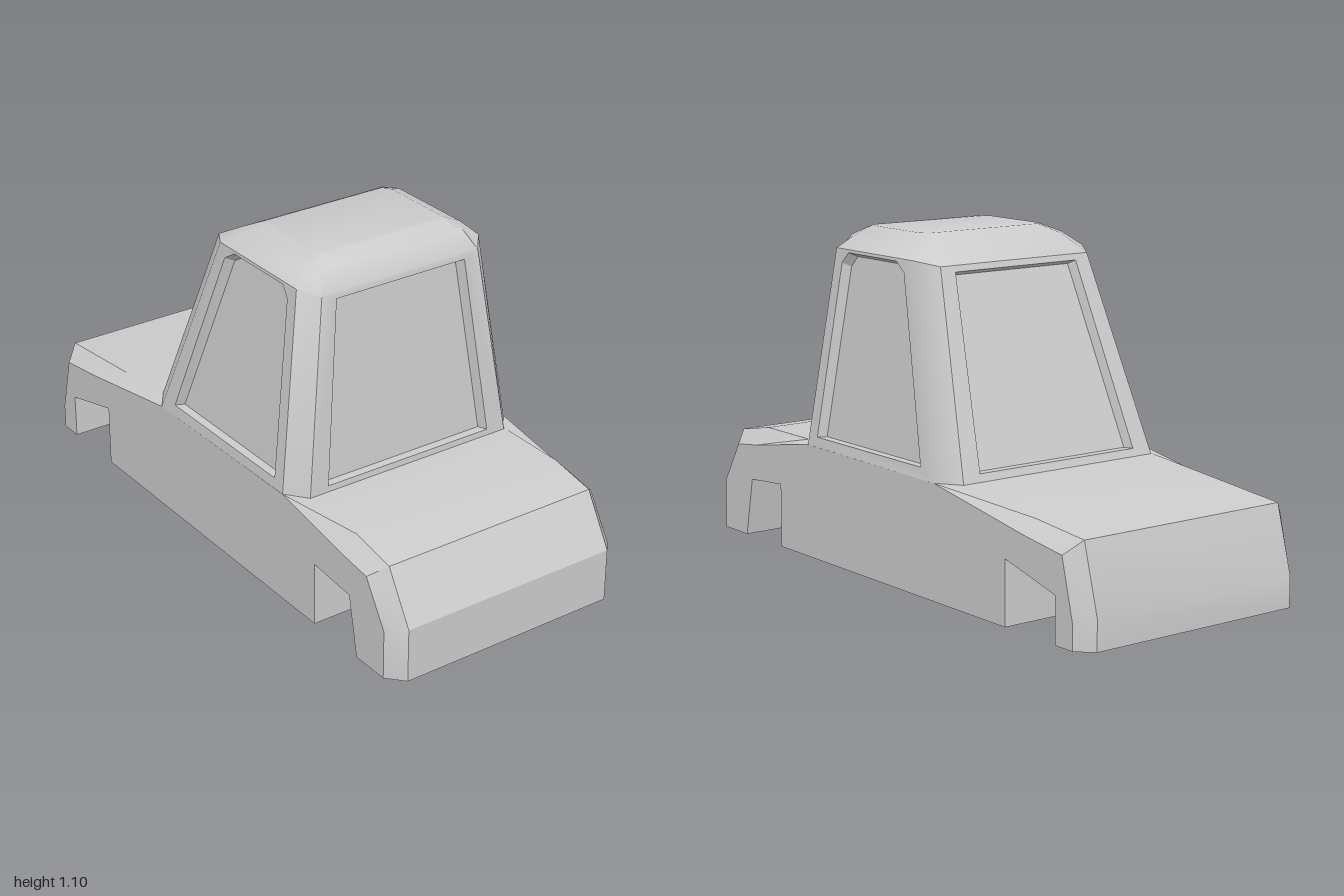
import * as THREE from 'three';
import { toCreasedNormals } from 'three/addons/utils/BufferGeometryUtils.js';

const material = new THREE.MeshStandardMaterial({ color: 0xcccccc });
const V = (x, y, z) => new THREE.Vector3(x, y, z);
const V2 = ([x, y]) => new THREE.Vector2(x, y);

function meshFrom(name, tris, crease = 0.62) {
  const geometry = new THREE.BufferGeometry().setFromPoints(tris);
  const mesh = new THREE.Mesh(toCreasedNormals(geometry, crease), material);
  mesh.name = name;
  return mesh;
}

// Adds a triangle facing away from a point (or towards it when sign is -1)
function addTri(tris, a, b, c, point, sign = 1) {
  const n = b.clone().sub(a).cross(c.clone().sub(a));
  const mid = a.clone().add(b).add(c).divideScalar(3).sub(point);
  if (n.dot(mid) * sign >= 0) tris.push(a, b, c);
  else tris.push(a, c, b);
}
function addQuad(tris, a, b, c, d, point, sign = 1) {
  addTri(tris, a, b, c, point, sign);
  addTri(tris, a, c, d, point, sign);
}

// Lower body: side profile lofted across the width, with bevelled edges and open wheel arches
function createBody() {
  const underside = [[0.81, 0], [0.77, 0.2], [0.59, 0.215], [0.59, 0],
    [-0.635, 0], [-0.635, 0.21], [-0.87, 0.15], [-0.87, 0]];
  const middle = [[-1, 0], [-1, 0.1], [-0.94, 0.32], [-0.72, 0.341], [-0.36, 0.375],
    [0.49, 0.38], [0.74, 0.38], [0.9, 0.35], [1, 0.18], [1, 0], ...underside].reverse();
  const edge = [[-0.95, 0], [-0.95, 0.08], [-0.9, 0.275], [-0.72, 0.3], [-0.28, 0.375],
    [0.42, 0.38], [0.74, 0.325], [0.855, 0.31], [0.945, 0.165], [0.945, 0], ...underside].reverse();
  const rings = [[edge, -0.435], [middle, -0.385], [middle, 0.385], [edge, 0.435]]
    .map(([profile, z]) => profile.map(([x, y]) => V(x, y, z)));
  const tris = [];
  for (let k = 0; k < 3; k++) {
    const r = rings[k], s = rings[k + 1];
    for (let i = 0; i < r.length; i++) {
      const j = (i + 1) % r.length;
      tris.push(r[i], r[j], s[j], r[i], s[j], s[i]);
    }
  }
  for (const [a, b, c] of THREE.ShapeUtils.triangulateShape(edge.map(V2), [])) {
    tris.push(rings[3][a], rings[3][b], rings[3][c]);
    tris.push(rings[0][a], rings[0][c], rings[0][b]);
  }
  return meshFrom('body', tris, 0.5);
}

// Eight-cornered horizontal section of the cab
function cabRing(xMin, xMax, zEnd, sideMin, sideMax, zSide, yEnd, ySide = yEnd) {
  return [V(sideMax, ySide, zSide), V(xMax, yEnd, zEnd), V(xMax, yEnd, -zEnd), V(sideMax, ySide, -zSide),
    V(sideMin, ySide, -zSide), V(xMin, yEnd, -zEnd), V(xMin, yEnd, zEnd), V(sideMin, ySide, zSide)];
}

function createCab() {
  const cab = new THREE.Group();
  cab.name = 'cab';
  const center = V(0.12, 0.6, 0);
  const rings = [
    cabRing(-0.36, 0.49, 0.38, -0.28, 0.42, 0.435, 0.375),
    cabRing(-0.13, 0.43, 0.295, -0.045, 0.37, 0.345, 1.015, 1.03),
    cabRing(-0.03, 0.385, 0.27, 0.01, 0.33, 0.305, 1.07),
    cabRing(0.03, 0.34, 0.22, 0.06, 0.32, 0.24, 1.1),
  ];
  const shell = [];

  // Corner posts and roof bevels; the odd wall faces are window frames
  for (let k = 0; k < 3; k++) {
    for (let i = 0; i < 8; i++) {
      if (k === 0 && i % 2) continue;
      const j = (i + 1) % 8;
      addQuad(shell, rings[k][i], rings[k][j], rings[k + 1][j], rings[k + 1][i], center);
    }
  }
  const top = rings[3];
  for (let i = 1; i < 7; i++) addTri(shell, top[0], top[i], top[i + 1], center);

  // Window openings, as [along the wall, height]
  const endOpening = [[-0.31, 0.4], [0.31, 0.4], [0.242, 0.995], [-0.242, 0.995]];
  const sideOpening = [[-0.205, 0.412], [0.37, 0.412], [0.33, 0.985], [0.3, 1.02], [0.035, 1.02], [-0.012, 0.99]];
  const windows = [
    [1, 'rearWindow', 'z', endOpening], [5, 'windshield', 'z', endOpening],
    [3, 'sideWindowBack', 'x', sideOpening], [7, 'sideWindowFront', 'x', sideOpening],
  ];
  for (const [i, name, axis, opening] of windows) {
    const corners = [rings[0][i], rings[0][(i + 1) % 8], rings[1][(i + 1) % 8], rings[1][i]];
    const [low, , high] = corners;
    const across = axis === 'z' ? 'x' : 'z';
    const out = Math.sign(low[across]);
    // Places a wall point in space, sunk by the given depth
    const place = ([u, y], depth) => {
      const t = (y - low.y) / (high.y - low.y);
      const w = THREE.MathUtils.lerp(low[across], high[across], t) - out * depth;
      return axis === 'z' ? V(w, y, u) : V(u, y, w);
    };
    // Wall with its opening
    const outline = corners.map((p) => [p[axis], p.y]);
    let contour = outline.map(V2);
    if (THREE.ShapeUtils.isClockWise(contour)) contour = contour.reverse();
    const hole = opening.map(V2).reverse();
    const flat = [...contour, ...hole].map((p) => place([p.x, p.y], 0));
    for (const [a, b, c] of THREE.ShapeUtils.triangulateShape(contour, [hole])) {
      addTri(shell, flat[a], flat[b], flat[c], center);
    }
    // Sunk pane and tapered reveal
    const mid = axis === 'z' ? 0 : 0.12;
    const inner = opening.map(([u, y]) => [u - Math.sign(u - mid) * 0.013, y > 0.5 ? y - 0.013 : y]);
    const rim = opening.map((p) => place(p, 0));
    const sunk = inner.map((p) => place(p, 0.03));
    const focus = place([mid, 0.7], 0.015);
    const reveal = [], pane = [];
    rim.forEach((p, n) => {
      const m = (n + 1) % rim.length;
      addQuad(reveal, p, rim[m], sunk[m], sunk[n], focus, -1);
    });
    for (let n = 1; n < sunk.length - 1; n++) addTri(pane, sunk[0], sunk[n], sunk[n + 1], center);
    cab.add(meshFrom(name + 'Reveal', reveal, 0.1), meshFrom(name, pane, 0.1));
  }
  cab.add(meshFrom('cabShell', shell));
  return cab;
}

export function createModel() {
  const model = new THREE.Group();
  model.name = 'car';
  model.add(createBody(), createCab());
  return model;
}
